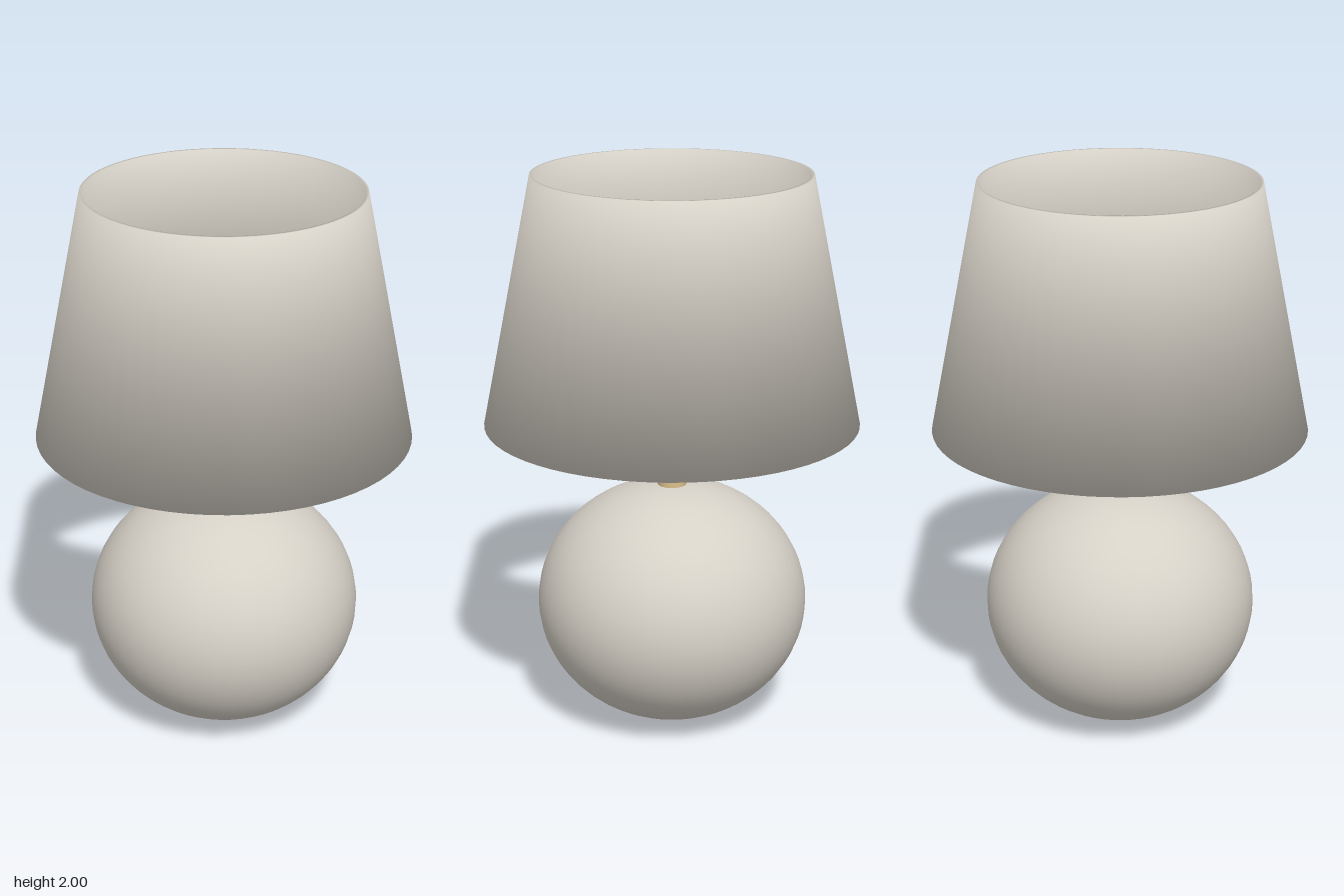
import * as THREE from 'three';

const shadeMat = new THREE.MeshStandardMaterial({ name: 'warm grey', color: 0xd6d1c7 });
const woodMat = new THREE.MeshStandardMaterial({ name: 'pale wood', color: 0xdcc08c });

// Thin conical wall, turned from a closed profile, with soft normals rounding its rims
function makeShade(bottomR, topR, bottomY, topY, wall, segments) {
  const profile = [
    [bottomR, bottomY], [topR, topY], [topR - wall, topY], [bottomR - wall, bottomY], [bottomR, bottomY],
  ].map(([r, y]) => new THREE.Vector2(r, y));
  const geometry = new THREE.LatheGeometry(profile, segments);

  // Each corner normal is the mean of the wall and rim directions beside it
  const out = new THREE.Vector2(topY - bottomY, bottomR - topR).normalize();
  const corner = (side, rim) => new THREE.Vector2(out.x * side, out.y * side + rim).normalize();
  const normals = [corner(1, -1), corner(1, 1), corner(-1, 1), corner(-1, -1), corner(1, -1)];
  const attribute = geometry.attributes.normal;
  for (let i = 0; i <= segments; i++) {
    const a = (i / segments) * Math.PI * 2;
    normals.forEach((n, j) => {
      attribute.setXYZ(i * normals.length + j, n.x * Math.sin(a), n.y, n.x * Math.cos(a));
    });
  }
  return geometry;
}

export function createModel() {
  const lamp = new THREE.Group();
  lamp.name = 'tableLamp';
  const add = (name, geometry, material, y = 0) => {
    const mesh = new THREE.Mesh(geometry, material);
    mesh.name = name;
    mesh.position.y = y;
    lamp.add(mesh);
    return mesh;
  };

  // Slightly squashed round base
  add('base', new THREE.SphereGeometry(0.487, 48, 32).scale(1, 0.44 / 0.487, 1), shadeMat, 0.44);

  // Wooden stem from the base up to the bulb
  add('stem', new THREE.CylinderGeometry(0.052, 0.052, 0.33, 16), woodMat, 1.015);

  // Bulb inside the shade
  add('bulb', new THREE.SphereGeometry(0.132, 16, 12), shadeMat, 1.297);

  // Open conical shade
  add('shade', makeShade(0.665, 0.487, 1.115, 2, 0.012, 64), shadeMat);

  return lamp;
}
